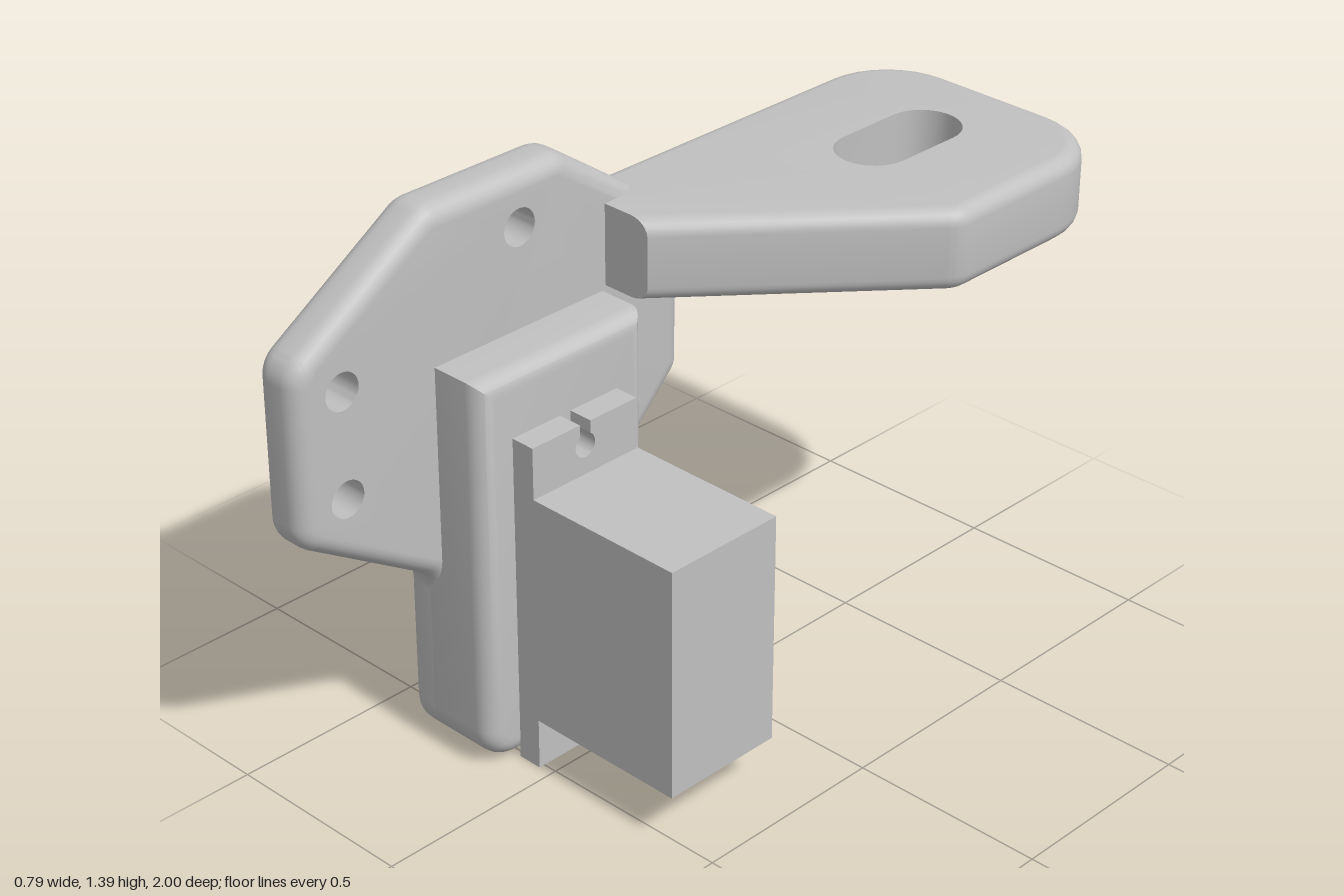
import * as THREE from 'three';
import { toCreasedNormals } from 'three/addons/utils/BufferGeometryUtils.js';

const grey = new THREE.MeshStandardMaterial({ color: 0xc0c0c0 });
grey.name = 'light grey';

const V = (x, y) => new THREE.Vector2(x, y);

// Closed outline from [x, y, cornerRadius] corners, counter-clockwise
function outline(corners) {
  const n = corners.length, pts = [];
  corners.forEach(([x, y, r = 0], i) => {
    const p = V(x, y);
    if (!r) return pts.push(p);
    const a = V(...corners[(i + n - 1) % n]).sub(p).normalize();
    const b = V(...corners[(i + 1) % n]).sub(p).normalize();
    const half = Math.acos(THREE.MathUtils.clamp(a.dot(b), -1, 1)) / 2;
    const t = r / Math.tan(half);
    const c = p.clone().add(a.clone().add(b).normalize().multiplyScalar(r / Math.sin(half)));
    const s = p.clone().addScaledVector(a, t).sub(c);
    const e = p.clone().addScaledVector(b, t).sub(c);
    const sweep = Math.atan2(s.cross(e), s.dot(e));
    for (let k = 0; k <= 8; k++) pts.push(s.clone().rotateAround(V(0, 0), sweep * k / 8).add(c));
  });
  return pts;
}

// Mitred inward offset of a counter-clockwise outline
function inset(pts, d) {
  const n = pts.length;
  return pts.map((p, i) => {
    const a = p.clone().sub(pts[(i + n - 1) % n]).normalize();
    const b = pts[(i + 1) % n].clone().sub(p).normalize();
    const m = V(-a.y - b.y, a.x + b.x);
    return p.clone().addScaledVector(m, 2 * d / m.lengthSq());
  });
}

const circle = (x, y, r, n = 32) =>
  Array.from({ length: n }, (_, i) => V(x + r * Math.cos(i / n * 2 * Math.PI), y + r * Math.sin(i / n * 2 * Math.PI)));

// Collects flat caps and walls into one creased geometry
class Solid {
  pos = [];
  cap(contour, holes, w, up) {
    const all = [contour, ...holes].flat();
    for (const [a, b, c] of THREE.ShapeUtils.triangulateShape(contour.slice(), holes.map(h => h.slice()))) {
      const ccw = all[b].clone().sub(all[a]).cross(all[c].clone().sub(all[a])) > 0;
      for (const i of ccw === up ? [a, b, c] : [a, c, b]) this.pos.push(all[i].x, all[i].y, w);
    }
  }
  wall(lo, w0, hi, w1) {
    lo.forEach((p, i) => {
      const j = (i + 1) % lo.length, q = lo[j], r = hi[j], s = hi[i];
      this.pos.push(p.x, p.y, w0, q.x, q.y, w0, r.x, r.y, w1, p.x, p.y, w0, r.x, r.y, w1, s.x, s.y, w1);
    });
  }
  bore(hole, w0, w1) {
    const h = hole.slice().reverse();
    this.wall(h, w0, h, w1);
  }
  // Outer skin with rounded rims; returns the bottom and top cap contours
  skin(pts, w0, w1, b0, b1, adjust = r => r) {
    const rings = [], N = 6;
    for (let k = 0; k <= N; k++) {
      const a = k / N * Math.PI / 2;
      if (b0 || k === N) rings.push([adjust(inset(pts, b0 * (1 - Math.sin(a))), b0 * (1 - Math.sin(a))), w0 + b0 * (1 - Math.cos(a))]);
    }
    for (let k = 0; k <= N; k++) {
      const a = k / N * Math.PI / 2, d = b1 * (1 - Math.cos(a));
      rings.push([adjust(inset(pts, d), d), w1 - b1 * (1 - Math.sin(a))]);
    }
    for (let i = 1; i < rings.length; i++) this.wall(...rings[i - 1], ...rings[i]);
    return [rings[0][0], rings.at(-1)[0]];
  }
  mesh(name) {
    const g = new THREE.BufferGeometry();
    g.setAttribute('position', new THREE.Float32BufferAttribute(this.pos, 3));
    const m = new THREE.Mesh(toCreasedNormals(g, 0.6), grey);
    m.name = name;
    return m;
  }
}

// Outline given in (z, y), for parts whose thickness runs along x
const side = corners => outline(corners.map(([z, y, r]) => [-z, y, r]));

function mountingPlate() {
  const pts = side([
    [0.61, 0.01, 0.09], [0.10, 0.01, 0.09], [0.10, 0.46, 0.08], [-0.16, 0.72, 0.06],
    [-0.16, 0.97, 0.05], [-0.22, 1.04], [-0.22, 1.14], [-0.06, 1.2],
    [0.21, 1.39, 0.08], [0.61, 1.39, 0.08], [1.0, 1.14, 0.08], [1.0, 0.71, 0.08], [0.61, 0.465, 0.08],
  ]);
  const s = new Solid();
  const screws = [[0.87, 1.055], [0.87, 0.79], [0.35, 1.26]].map(([z, y]) => circle(-z, y, 0.046));
  const shaftHole = circle(-0.345, 0.565, 0.125, 48);
  const [back, front] = s.skin(pts, -0.37, -0.24, 0.045, 0.045);
  s.cap(back, [...screws, shaftHole], -0.37, false);
  s.cap(front, screws, -0.24, true);
  screws.forEach(h => s.bore(h, -0.37, -0.24));
  s.bore(shaftHole, -0.37, -0.29);
  s.cap(shaftHole, [], -0.29, false);
  return s.mesh('mountingPlate');
}

function motorHousing() {
  const s = new Solid();
  const pts = side([[0.61, 0.01, 0.09], [0.10, 0.01, 0.09], [0.10, 1.012], [0.61, 1.012]]);
  const [back, front] = s.skin(pts, -0.285, -0.1, 0, 0.045);
  s.cap(back, [], -0.285, false);
  s.cap(front, [], -0.1, true);
  return s.mesh('motorHousing');
}

function arm() {
  const s = new Solid(), w0 = 1.023, w1 = 1.228, floor = w0 + 0.05;
  const pts = outline([[-0.366, -0.09], [-0.105, -0.09], [0.36, 0.44, 0.08], [0.36, 1, 0.2], [-0.366, 1, 0.2]]);
  // Keep the near end flat and square to the arm
  const flatEnd = (ring, d) => {
    ring[0].y -= d;
    ring[1].y -= d;
    ring[1].x -= d * 0.877;
    return ring;
  };
  const [bottom, top] = s.skin(pts, w0, w1, 0.04, 0.04, flatEnd);
  const cx = -0.005, r = 0.092;
  const slot = outline([[cx - r, 0.458, r * 0.999], [cx + r, 0.458, r * 0.999], [cx + r, 0.822, r * 0.999], [cx - r, 0.822, r * 0.999]]);
  const holes = [[0.64, 0.065], [0.76, 0.035], [0.523, 0.035]].map(([v, q]) => circle(cx, v, q));
  s.cap(top, [slot], w1, true);
  s.bore(slot, floor, w1);
  s.cap(slot, holes, floor, true);
  holes.forEach(h => s.bore(h, w0, floor));
  s.cap(bottom, holes, w0, false);
  return s.mesh('arm');
}

function motorFlange() {
  // Keyhole notches are cut into both short ends
  const c = -0.355, n = 0.016, r = 0.03, y0 = 0.003, y1 = 0.852;
  const notch = (cy, start) => Array.from({ length: 21 }, (_, i) => {
    const a = start - 0.56 - i / 20 * (2 * Math.PI - 1.12);
    return V(c + r * Math.cos(a), cy + r * Math.sin(a));
  });
  const pts = [
    V(-0.515, y0), V(c - n, y0), ...notch(0.07, -Math.PI / 2), V(c + n, y0), V(-0.195, y0),
    V(-0.195, y1), V(c + n, y1), ...notch(0.795, Math.PI / 2), V(c - n, y1), V(-0.515, y1),
  ];
  const s = new Solid();
  s.wall(pts, -0.101, pts, -0.037);
  s.cap(pts, [], -0.101, false);
  s.cap(pts, [], -0.037, true);
  return s.mesh('motorFlange');
}

export function createModel() {
  const model = new THREE.Group();
  model.name = 'motorBracket';

  for (const part of [mountingPlate(), motorHousing(), motorFlange()]) {
    part.rotation.y = Math.PI / 2;
    model.add(part);
  }
  const a = arm();
  a.rotation.x = -Math.PI / 2;
  model.add(a);

  // Motor body and output shaft
  const body = new THREE.Mesh(new THREE.BoxGeometry(0.491, 0.588, 0.324), grey);
  body.name = 'motorBody';
  body.position.set(0.1435, 0.4275, 0.353);
  const shaft = new THREE.Mesh(new THREE.CylinderGeometry(0.064, 0.064, 0.14, 32), grey);
  shaft.name = 'outputShaft';
  shaft.rotation.z = Math.PI / 2;
  shaft.position.set(-0.334, 0.565, 0.345);
  model.add(body, shaft);

  // The whole bracket leans very slightly
  model.rotation.z = -0.009;
  const root = new THREE.Group();
  root.add(model);
  return root;
}
